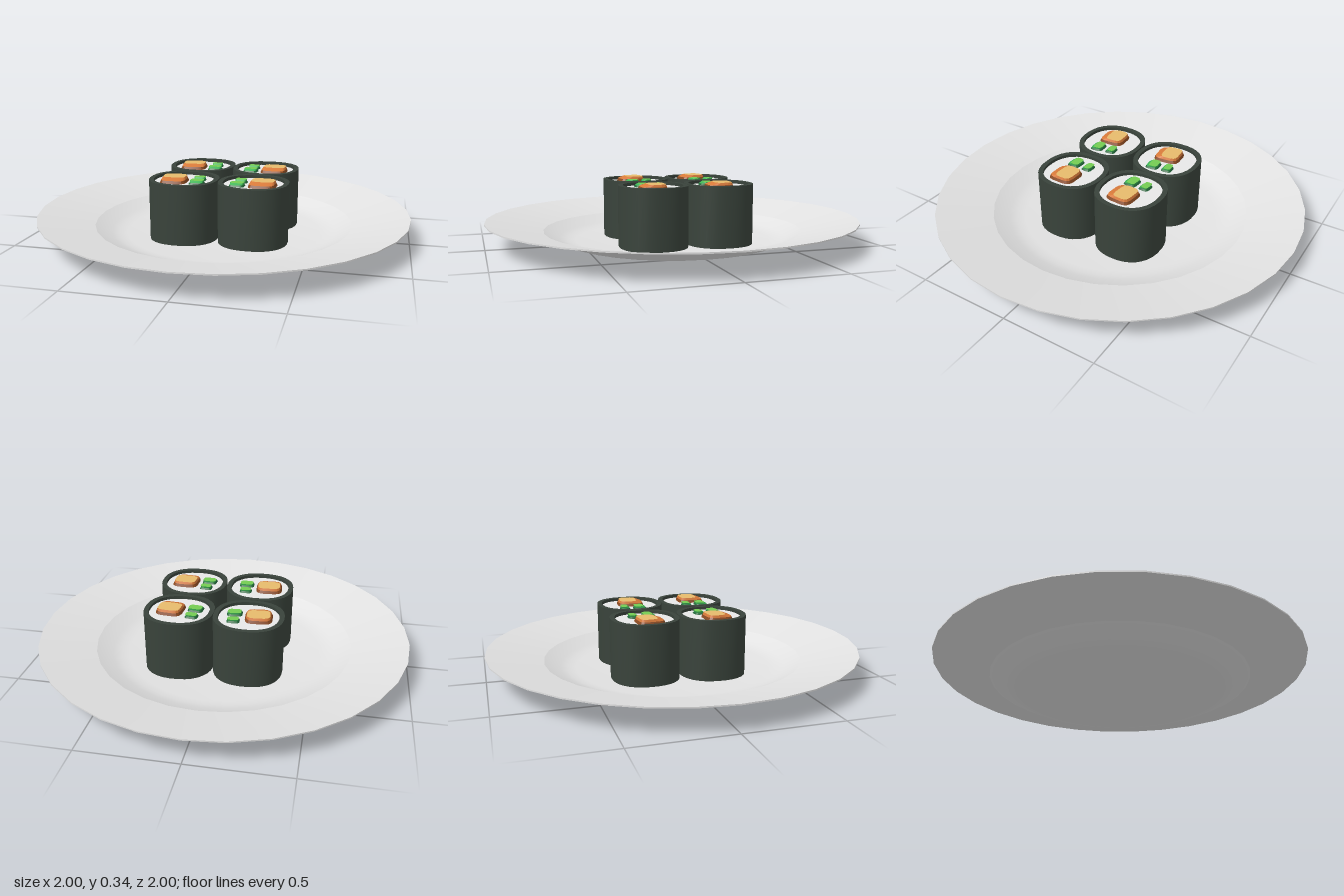
import * as THREE from 'three';
import { toCreasedNormals } from 'three/addons/utils/BufferGeometryUtils.js';

const mat = (name, color, side = THREE.FrontSide) => {
  const m = new THREE.MeshStandardMaterial({ color, side });
  m.name = name;
  return m;
};

// Skin over rounded-square rings [y, halfWidth, halfDepth, shiftX, shiftZ], listed bottom to top
function loft(rings, { sides = 32, power = 2.3, cap = false, crease = 0.6 } = {}) {
  const root = (v) => Math.sign(v) * Math.pow(Math.abs(v), 2 / power);
  const point = ([y, w, d, sx = 0, sz = 0], j) => {
    const a = ((j + 0.5) / sides) * Math.PI * 2;
    return [sx + w * root(Math.cos(a)), y, sz + d * root(Math.sin(a))];
  };
  const pos = [];
  for (let j = 0; j < sides; j++) {
    for (let i = 0; i + 1 < rings.length; i++) {
      const a = point(rings[i], j), b = point(rings[i], j + 1);
      const c = point(rings[i + 1], j), d = point(rings[i + 1], j + 1);
      pos.push(...a, ...c, ...b, ...b, ...c, ...d);
    }
    if (cap) {
      const top = rings[rings.length - 1];
      pos.push(top[3] || 0, top[0], top[4] || 0, ...point(top, j + 1), ...point(top, j));
    }
  }
  const g = new THREE.BufferGeometry();
  g.setAttribute('position', new THREE.Float32BufferAttribute(pos, 3));
  g.computeVertexNormals();
  return toCreasedNormals(g, crease);
}

export function createModel() {
  const model = new THREE.Group();
  model.name = 'sushiPlate';

  const ceramic = mat('plate white', 0xe2e2e2);
  const nori = mat('seaweed', 0x39433b);
  const rice = mat('rice white', 0xf2f2f2);
  const salmon = {
    edge: mat('salmon brown', 0x8a4a22),
    side: mat('salmon orange', 0xd87a3a),
    top: mat('salmon tan', 0xe6bb6c),
  };
  const cucumber = {
    edge: mat('cucumber dark green', 0x23683a),
    side: mat('cucumber green', 0x3cb455),
    top: mat('cucumber light green', 0x74cc52),
  };

  const add = (parent, name, geometry, material) => {
    const m = new THREE.Mesh(geometry, material);
    m.name = name;
    parent.add(m);
    return m;
  };

  // Plate: thin closed profile with a shallow well and a wide sloping rim
  const profile = [
    [0, 0], [0.53, 0], [0.575, 0.007], [0.615, 0.02], [0.7, 0.062], [1, 0.127],
    [1, 0.134], [0.7, 0.07], [0.615, 0.03], [0.575, 0.019], [0.53, 0.012], [0, 0.012],
  ].map(([r, y]) => new THREE.Vector2(r, y));
  add(model, 'plate', toCreasedNormals(new THREE.LatheGeometry(profile, 32), 0.2), ceramic);

  // One filling piece: dark outline, coloured slope, and a pale top set towards the back
  function filling(parent, name, x, z, w, d, height, colors, turn) {
    const piece = new THREE.Group();
    piece.name = name;
    piece.position.set(x, 0.31, z);
    piece.rotation.y = turn;
    const opts = { sides: 16, power: 4, crease: 0.3 };
    const h = height;
    const shoulder = [h * 0.6, w - 0.008, d - 0.008];
    const crown = [h, w * 0.82, d * 0.62, 0, -d * 0.2];
    add(piece, name + 'Outline', loft([[0, w, d], shoulder], opts), colors.edge);
    add(piece, name + 'Side', loft([shoulder, crown], opts), colors.side);
    add(piece, name + 'Top', loft([crown], { ...opts, cap: true }), colors.top);
    parent.add(piece);
  }

  // Rolls: seaweed shell with a recessed rice face; right and left columns mirror each other
  const shell = loft([
    [0.012, 0.183, 0.177], [0.33, 0.183, 0.177],
    [0.33, 0.158, 0.152], [0.312, 0.158, 0.152],
  ]);
  const face = loft([[0.314, 0.16, 0.154]], { cap: true });
  const rolls = [
    ['backRight', -0.166, -0.198, 1, 0.08],
    ['backLeft', 0.2, -0.192, -1, -0.08],
    ['frontRight', -0.174, 0.162, 1, 0.06],
    ['frontLeft', 0.198, 0.164, -1, -0.04],
  ];
  for (const [name, x, z, s, turn] of rolls) {
    const roll = new THREE.Group();
    roll.name = name + 'Roll';
    roll.position.set(x, 0, z);
    add(roll, 'seaweedWrap', shell, nori);
    add(roll, 'riceFace', face, rice);
    filling(roll, 'salmon', -0.05 * s, 0.015, 0.073, 0.074, 0.031, salmon, turn);
    filling(roll, 'cucumberBack', 0.074 * s, -0.041, 0.036, 0.031, 0.022, cucumber, turn);
    filling(roll, 'cucumberFront', 0.079 * s, 0.041, 0.043, 0.039, 0.022, cucumber, turn);
    model.add(roll);
  }

  return model;
}
